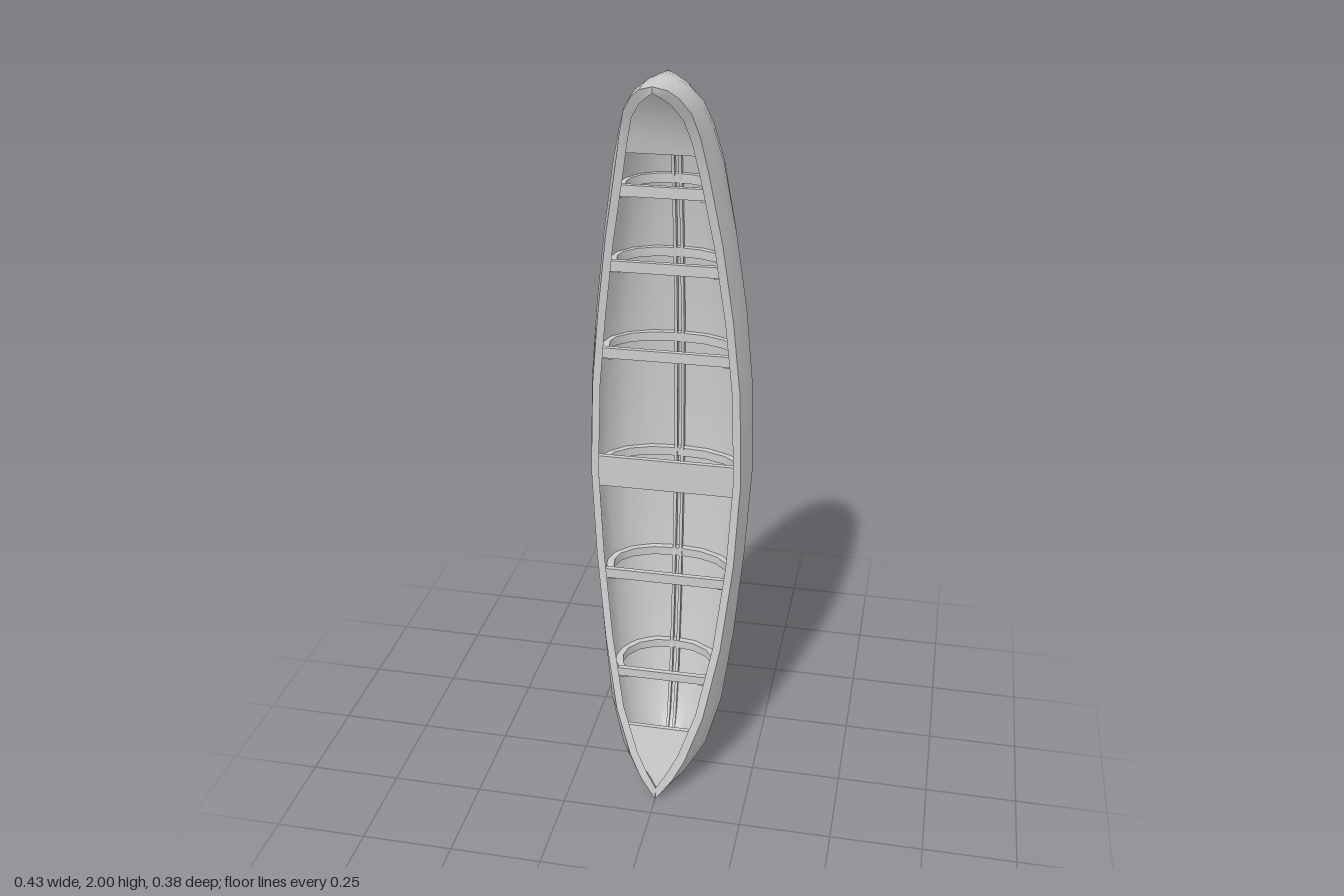
import * as THREE from 'three';
import { toCreasedNormals } from 'three/addons/utils/BufferGeometryUtils.js';

const material = new THREE.MeshStandardMaterial({ color: 0xcccccc, side: THREE.DoubleSide });

// Hull stations: y, greatest half width, rim half width, keel z, rim z
const STATIONS = [
  [0.0, 0, 0, 0.0, 0.19],
  [0.02, 0.04, 0.016, -0.02, 0.187],
  [0.06, 0.08, 0.045, -0.05, 0.177],
  [0.12, 0.12, 0.077, -0.083, 0.16],
  [0.25, 0.157, 0.122, -0.118, 0.128],
  [0.45, 0.182, 0.16, -0.148, 0.083],
  [0.7, 0.203, 0.187, -0.172, 0.053],
  [0.95, 0.217, 0.2, -0.188, 0.041],
  [1.2, 0.21, 0.192, -0.187, 0.037],
  [1.4, 0.192, 0.172, -0.178, 0.043],
  [1.6, 0.165, 0.145, -0.16, 0.06],
  [1.78, 0.135, 0.113, -0.135, 0.083],
  [1.87, 0.112, 0.096, -0.11, 0.103],
  [1.93, 0.09, 0.08, -0.08, 0.13],
  [1.97, 0.062, 0.056, -0.045, 0.157],
  [1.99, 0.036, 0.033, -0.018, 0.172],
  [2.0, 0, 0, 0.0, 0.183],
];

// Linear interpolation of the hull stations
function station(y) {
  let i = 0;
  while (i < STATIONS.length - 2 && STATIONS[i + 1][0] < y) i++;
  const a = STATIONS[i], b = STATIONS[i + 1];
  const t = (y - a[0]) / (b[0] - a[0]);
  const [, wide, rim, keel, top] = a.map((v, k) => THREE.MathUtils.lerp(v, b[k], t));
  return { wide, rim, keel, top };
}

// Cross-section [x, z] from the right rim under the keel to the left rim
function section(y, inset = 0, drop = 0) {
  const s = station(y);
  const wide = Math.max(0, s.wide - inset), rim = Math.max(0, s.rim - inset);
  const keel = s.keel + inset, top = s.top - drop;
  const belly = keel + 0.58 * (top - keel);
  const z = (v) => THREE.MathUtils.lerp(keel, belly, v);
  const half = [
    [0.41 * wide, z(0.07)], [0.74 * wide, z(0.3)], [0.945 * wide, z(0.65)], [wide, belly],
    [rim + 0.72 * (wide - rim), (belly + top) / 2], [rim, top],
  ];
  return [...half.map(([x, d]) => [-x, d]).reverse(), [0, keel], ...half];
}

// Skin a row of closed loops of [x, y, z] points, facing outwards
function loft(loops, caps, crease) {
  const n = loops[0].length, index = [];
  for (let i = 0; i < loops.length - 1; i++) {
    for (let j = 0; j < n; j++) {
      const a = i * n + j, b = i * n + ((j + 1) % n);
      index.push(a, b, b + n, a, b + n, a + n);
    }
  }
  if (caps) {
    const last = (loops.length - 1) * n;
    for (let j = 1; j < n - 1; j++) index.push(0, j + 1, j, last, last + j, last + j + 1);
  }
  const points = loops.flat().map((p) => new THREE.Vector3(...p));
  let volume = 0;
  for (let k = 0; k < index.length; k += 3) {
    const cross = points[index[k + 1]].clone().cross(points[index[k + 2]]);
    volume += points[index[k]].dot(cross);
  }
  if (volume < 0) index.reverse();
  const geometry = new THREE.BufferGeometry().setFromPoints(points);
  geometry.setIndex(index);
  return toCreasedNormals(geometry, crease);
}

export function createModel() {
  const group = new THREE.Group();
  group.name = 'boat';
  const add = (name, geometry) => {
    const mesh = new THREE.Mesh(geometry, material);
    mesh.name = name;
    group.add(mesh);
    return mesh;
  };

  // Hull: outer skin, rim and inner skin in one closed shell
  const shell = STATIONS.map(([y]) => {
    const innerY = 1 + (y - 1) * 0.985;
    const outer = section(y).map(([x, z]) => [x, y, z]);
    const inner = section(y, 0.02).map(([x, z]) => [x, innerY, z]);
    return [...outer, ...inner.reverse()];
  });
  add('hull', loft(shell, false, 0.6));

  // Rectangular loop across the boat at one height
  const slab = (x0, x1, y, z0, z1) => [[x0, y, z0], [x1, y, z0], [x1, y, z1], [x0, y, z1]];

  // End decks just under the rim
  const deck = (name, heights) => add(name, loft(heights.map((y) => {
    const s = station(y), w = Math.max(0.001, s.rim - 0.014);
    return slab(-w, w, y, s.top - 0.025, s.top - 0.013);
  }), true, 0.5));
  deck('lowerDeck', [0.02, 0.06, 0.12, 0.2]);
  deck('upperDeck', [1.82, 1.87, 1.93, 1.97, 1.985]);

  // Twin keelson rails along the floor
  const floor = [0.08, 0.12, 0.25, 0.45, 0.7, 0.95, 1.2, 1.4, 1.6, 1.78, 1.87, 1.91];
  for (const side of [-1, 1]) {
    add(side > 0 ? 'leftKeelson' : 'rightKeelson', loft(floor.map((y) => {
      const z = station(y).keel;
      return slab(side * 0.009 - 0.004, side * 0.009 + 0.004, y, z + 0.012, z + 0.04);
    }), true, 0.5));
  }

  // Thwarts, each with a rib that follows the hull beneath it
  const thwarts = [[0.345, 0.025], [0.635, 0.028], [0.94, 0.088], [1.28, 0.028], [1.52, 0.028], [1.72, 0.028]];
  for (const [y, height] of thwarts) {
    const s = station(y), w = s.rim - 0.012;
    const seat = add('thwart', new THREE.BoxGeometry(2 * w, height, 0.014));
    seat.position.set(0, y, s.top - 0.03);

    const ribY = y - 0.008, y0 = ribY - 0.012, y1 = ribY + 0.012;
    const outer = section(ribY, 0.016, 0.03), inner = section(ribY, 0.038, 0.03);
    add('rib', loft(outer.map(([x, z], i) => {
      const [u, v] = inner[i];
      return [[x, y0, z], [x, y1, z], [u, y1, v], [u, y0, v]];
    }), true, 0.6));
  }

  return group;
}
